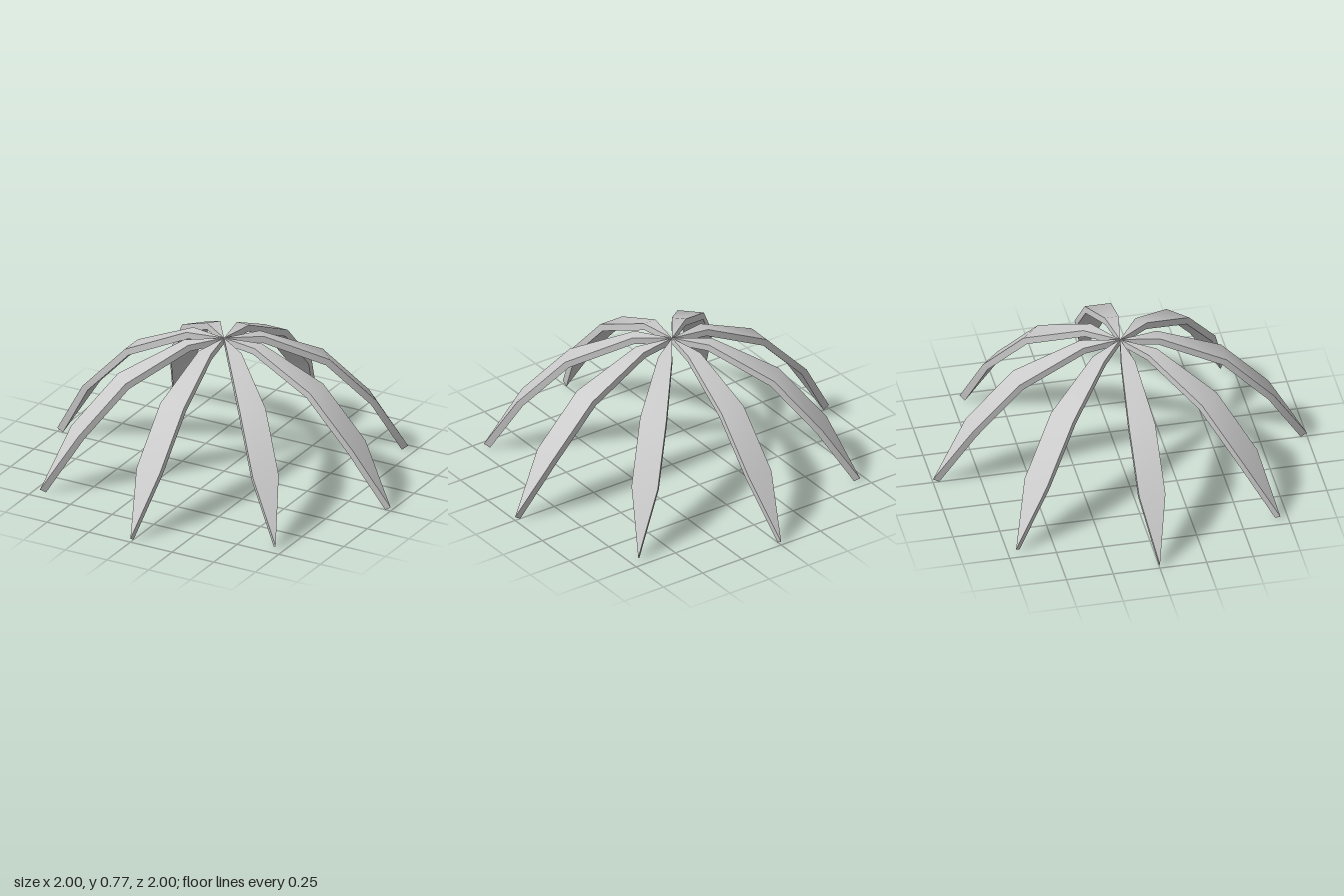
import * as THREE from 'three';
import { toCreasedNormals } from 'three/addons/utils/BufferGeometryUtils.js';

// Leaf cross-sections from hub to tip: half width, top [radius, y], bottom [radius, y]
const SECTIONS = [
  { w: 0, top: [0, 0.77], bottom: [0, 0.735] },
  { w: 0.037, top: [0.205, 0.77], bottom: [0.195, 0.735] },
  { w: 0.07, top: [0.556, 0.605], bottom: [0.535, 0.575] },
  { w: 0.07, top: [0.81, 0.335], bottom: [0.78, 0.315] },
  { w: 0, top: [1, 0.02], bottom: [0.967, 0] },
];

// Bent, pointed strip running along +z
function leafGeometry() {
  const rings = SECTIONS.map(({ w, top, bottom }) => [
    new THREE.Vector3(w, top[1], top[0]),
    new THREE.Vector3(-w, top[1], top[0]),
    new THREE.Vector3(-w, bottom[1], bottom[0]),
    new THREE.Vector3(w, bottom[1], bottom[0]),
  ]);
  const positions = [];
  const addTriangle = (...corners) => {
    // Skip the collapsed triangles at the two pointed ends
    if (new THREE.Triangle(...corners).getArea() < 1e-7) return;
    corners.forEach((p) => positions.push(p.x, p.y, p.z));
  };
  for (let i = 0; i < rings.length - 1; i++) {
    for (let k = 0; k < 4; k++) {
      const n = (k + 1) % 4;
      const a = rings[i][k], b = rings[i][n];
      const c = rings[i + 1][n], d = rings[i + 1][k];
      addTriangle(a, b, c);
      addTriangle(a, c, d);
    }
  }
  const geometry = new THREE.BufferGeometry();
  geometry.setAttribute('position', new THREE.Float32BufferAttribute(positions, 3));
  return toCreasedNormals(geometry, 0.6);
}

export function createModel() {
  const model = new THREE.Group();
  model.name = 'leafRosette';
  const material = new THREE.MeshStandardMaterial({ color: 0xcccccc });
  const geometry = leafGeometry();

  // Eight identical leaves around the centre
  for (let i = 0; i < 8; i++) {
    const leaf = new THREE.Mesh(geometry, material);
    leaf.name = `leaf${i + 1}`;
    leaf.rotation.y = (i * Math.PI) / 4;
    model.add(leaf);
  }
  return model;
}
